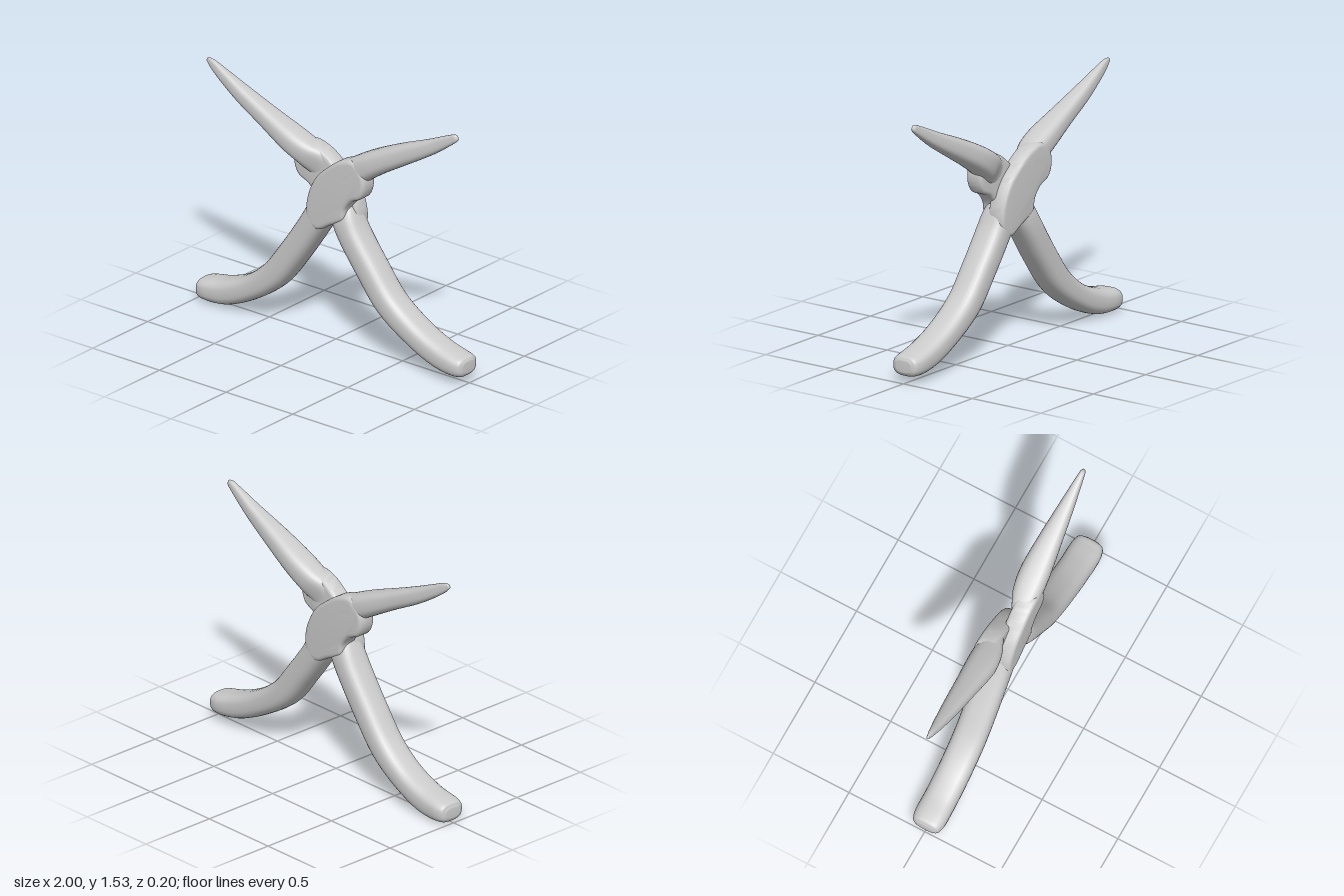
import * as THREE from 'three';
import { toCreasedNormals } from 'three/addons/utils/BufferGeometryUtils.js';

const material = new THREE.MeshStandardMaterial({ color: 0xcccccc });

// Sweeps a rounded-box section along stations of [x, y, halfWidth, zBack, zFront].
function sweepLever(stations, steps = 110, sides = 28) {
  const path = new THREE.CatmullRomCurve3(stations.map(([x, y, w]) => new THREE.Vector3(x, y, w)));
  const depth = new THREE.CatmullRomCurve3(stations.map(([, , , b, f], i) => new THREE.Vector3(b, f, i * 0.1)));
  const round = (v) => Math.sign(v) * Math.abs(v) ** 0.72;
  const positions = [];
  const index = [];
  for (let i = 0; i <= steps; i++) {
    const t = i / steps;
    const p = path.getPoint(t);
    const d = depth.getPoint(t);
    const a = path.getPoint(Math.max(0, t - 0.01));
    const b = path.getPoint(Math.min(1, t + 0.01));
    const tangent = new THREE.Vector2(b.x - a.x, b.y - a.y).normalize();
    for (let j = 0; j < sides; j++) {
      const angle = (j / sides) * Math.PI * 2;
      const across = round(Math.cos(angle)) * p.z;
      const z = (d.x + d.y) / 2 + round(Math.sin(angle)) * (d.y - d.x) / 2;
      positions.push(p.x - tangent.y * across, p.y + tangent.x * across, z);
      if (i < steps) {
        const k = i * sides + j;
        const n = i * sides + (j + 1) % sides;
        index.push(k, n, k + sides, n, n + sides, k + sides);
      }
    }
  }
  // end caps
  const first = stations[0];
  const last = stations[stations.length - 1];
  const c = positions.length / 3;
  positions.push(first[0], first[1], (first[3] + first[4]) / 2);
  positions.push(last[0], last[1], (last[3] + last[4]) / 2);
  for (let j = 0; j < sides; j++) {
    const n = (j + 1) % sides;
    index.push(c, n, j, c + 1, steps * sides + j, steps * sides + n);
  }
  const geometry = new THREE.BufferGeometry();
  geometry.setAttribute('position', new THREE.Float32BufferAttribute(positions, 3));
  geometry.setIndex(index);
  geometry.computeVertexNormals();
  return geometry;
}

// Half-thickness joint plate with its shoulder lobe below the jaw.
function jointPlate(scaleX, shiftY) {
  const outline = [
    [-0.15, 0.76], [-0.15, 0.88], [-0.09, 1.02], [0, 1.11], [0.1, 1.18], [0.2, 1.2],
    [0.27, 1.13], [0.28, 1.05], [0.25, 0.98], [0.18, 0.94], [0.135, 0.88],
    [0.12, 0.81], [0.02, 0.75], [-0.08, 0.7],
  ].map(([x, y]) => new THREE.Vector3(x * scaleX, y + shiftY, 0));
  const curve = new THREE.CatmullRomCurve3(outline, true);
  const shape = new THREE.Shape(curve.getPoints(70).slice(0, -1).map((p) => new THREE.Vector2(p.x, p.y)));
  const geometry = new THREE.ExtrudeGeometry(shape, {
    depth: 0.065, bevelThickness: 0.025, bevelSize: 0.025, bevelOffset: -0.025, bevelSegments: 4,
  });
  geometry.translate(0, 0, 0.005);
  return toCreasedNormals(geometry, 0.8);
}

function plierHalf(name, stations, scaleX, shiftY) {
  const half = new THREE.Group();
  half.name = name;
  const lever = new THREE.Mesh(sweepLever(stations), material);
  lever.name = 'handleAndJaw';
  const plate = new THREE.Mesh(jointPlate(scaleX, shiftY), material);
  plate.name = 'jointPlate';
  half.add(lever, plate);
  return half;
}

export function createModel() {
  const model = new THREE.Group();
  model.name = 'pliers';

  // lever section narrows to half thickness where the two halves cross
  const crossing = [
    [-0.08, 0.81, 0.09, -0.085, 0.095],
    [0, 0.93, 0.1, -0.02, 0.095],
    [0.1, 1.05, 0.1, -0.02, 0.095],
  ];

  const front = plierHalf('frontHalf', [
    [-1, 0.068, 0.03, -0.055, 0.05],
    [-0.985, 0.068, 0.056, -0.085, 0.08],
    [-0.93, 0.072, 0.069, -0.1, 0.095],
    [-0.8, 0.09, 0.078, -0.1, 0.095],
    [-0.62, 0.165, 0.076, -0.1, 0.095],
    [-0.45, 0.29, 0.082, -0.1, 0.095],
    [-0.3, 0.48, 0.084, -0.1, 0.095],
    [-0.15, 0.7, 0.085, -0.1, 0.095],
    ...crossing,
    [0.2, 1.135, 0.085, -0.07, 0.095],
    [0.32, 1.21, 0.076, -0.085, 0.09],
    [0.5, 1.305, 0.065, -0.07, 0.07],
    [0.7, 1.405, 0.048, -0.045, 0.045],
    [0.84, 1.485, 0.032, -0.025, 0.025],
    [0.9, 1.52, 0.02, -0.015, 0.015],
    [0.912, 1.528, 0.008, -0.006, 0.006],
  ], 1, 0);

  const back = plierHalf('backHalf', [
    [-1, 0.105, 0.035, -0.055, 0.05],
    [-0.985, 0.105, 0.056, -0.085, 0.08],
    [-0.93, 0.107, 0.067, -0.1, 0.095],
    [-0.8, 0.135, 0.076, -0.1, 0.095],
    [-0.62, 0.215, 0.077, -0.1, 0.095],
    [-0.42, 0.35, 0.083, -0.1, 0.095],
    [-0.28, 0.52, 0.084, -0.1, 0.095],
    [-0.14, 0.71, 0.085, -0.1, 0.095],
    ...crossing,
    [0.21, 1.12, 0.08, -0.07, 0.095],
    [0.32, 1.175, 0.073, -0.085, 0.09],
    [0.5, 1.262, 0.06, -0.07, 0.07],
    [0.7, 1.358, 0.05, -0.05, 0.05],
    [0.85, 1.44, 0.037, -0.03, 0.03],
    [0.93, 1.488, 0.025, -0.016, 0.016],
    [0.962, 1.505, 0.012, -0.008, 0.008],
  ], 1.1, -0.01);
  back.rotation.y = Math.PI;

  model.add(front, back);
  return model;
}
